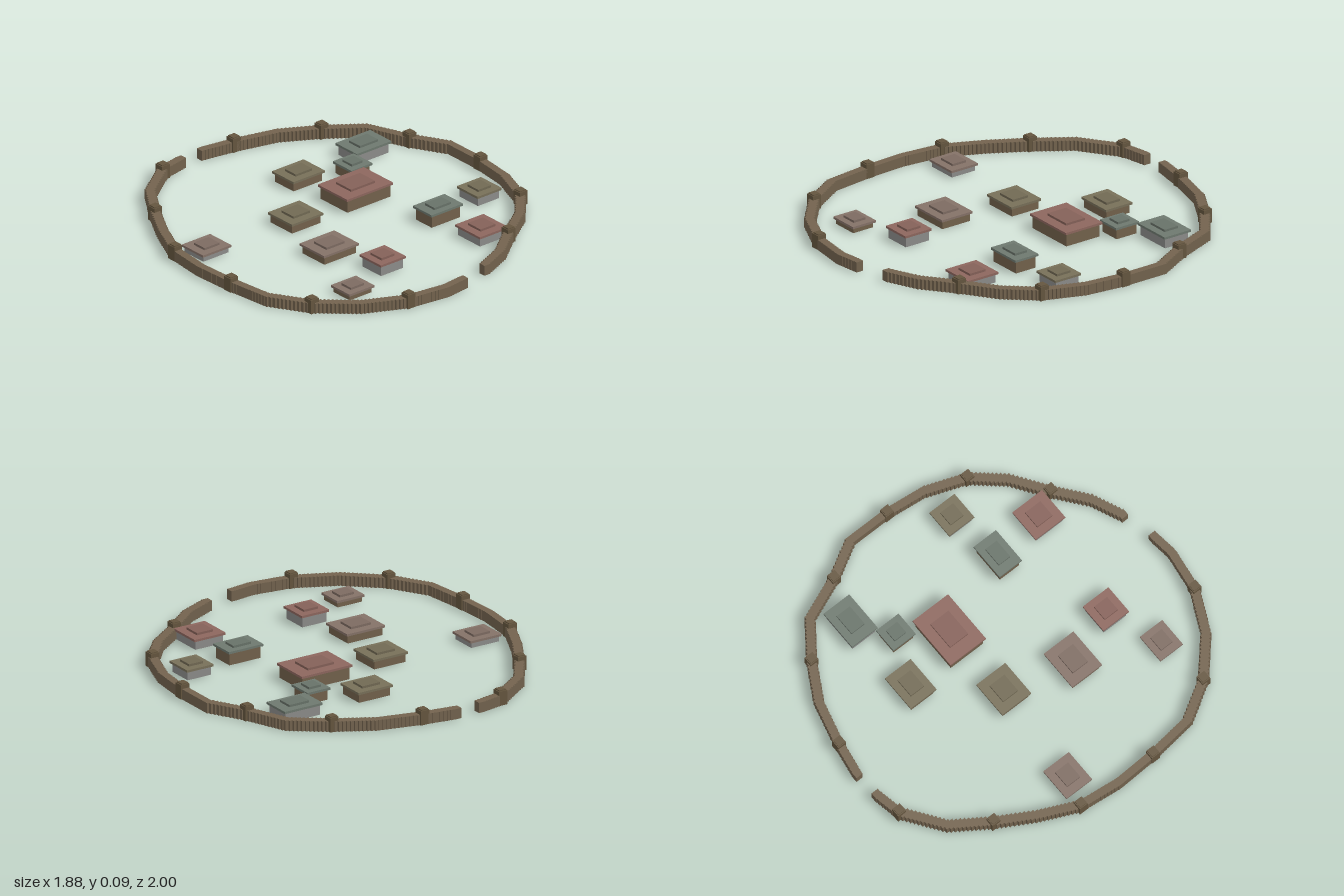
import * as THREE from 'three';
import { mergeGeometries } from 'three/addons/utils/BufferGeometryUtils.js';

const mat = (color) => new THREE.MeshStandardMaterial({ color, flatShading: true });
const timber = mat(0x73634e), towerTimber = mat(0x65563f), stone = mat(0x8c8c8a), planks = mat(0x73624c);
const roofs = { olive: 0x787059, green: 0x6e796f, red: 0x8d675e, brown: 0x857268 };

// Wall lines as [x, z] points, one on each side of the two gates
const eastLine = [[-0.07, -0.98], [0.11, -0.95], [0.345, -0.89], [0.54, -0.78], [0.72, -0.645], [0.81, -0.42],
  [0.915, -0.23], [0.915, 0.005], [0.89, 0.22], [0.81, 0.435], [0.675, 0.59], [0.495, 0.715], [0.33, 0.845], [0.17, 0.915]];
const westLine = [[-0.02, 0.965], [-0.14, 0.98], [-0.36, 0.95], [-0.58, 0.845], [-0.765, 0.68], [-0.885, 0.48], [-0.915, 0.235],
  [-0.925, 0.01], [-0.9, -0.215], [-0.805, -0.42], [-0.695, -0.61], [-0.565, -0.8], [-0.36, -0.945], [-0.22, -0.972]];

// Houses: centre x, z, roof width, roof depth, total height, roof colour, wall material
const houses = [
  [0.13, -0.475, 0.206, 0.164, 0.07, 'olive', planks],
  [0.577, -0.5, 0.227, 0.164, 0.077, 'green', stone],
  [0.388, -0.362, 0.137, 0.143, 0.078, 'green', planks],
  [0.227, -0.15, 0.301, 0.227, 0.091, 'red', planks],
  [-0.182, -0.13, 0.206, 0.185, 0.068, 'olive', planks],
  [-0.735, -0.166, 0.185, 0.164, 0.053, 'brown', stone],
  [-0.275, 0.238, 0.227, 0.19, 0.066, 'brown', planks],
  [0.391, 0.293, 0.206, 0.143, 0.088, 'green', planks],
  [0.7, 0.248, 0.158, 0.16, 0.07, 'olive', stone],
  [-0.174, 0.531, 0.164, 0.164, 0.078, 'red', stone],
  [-0.47, 0.648, 0.164, 0.143, 0.051, 'brown', planks],
  [0.428, 0.586, 0.185, 0.19, 0.07, 'red', stone],
];

// Box standing on height y
function boxAt(parent, name, material, [w, h, d], [x, y, z]) {
  const mesh = new THREE.Mesh(new THREE.BoxGeometry(w, h, d), material);
  mesh.name = name;
  mesh.position.set(x, y + h / 2, z);
  parent.add(mesh);
}

// Palisade of square posts set closely along a line
function palisade(line, name) {
  const posts = [];
  line.slice(1).forEach(([x1, z1], i) => {
    const [x0, z0] = line[i];
    const steps = Math.round(Math.hypot(x1 - x0, z1 - z0) / 0.021);
    for (let s = i ? 1 : 0; s <= steps; s++) {
      const t = s / steps;
      posts.push(new THREE.BoxGeometry(0.04, 0.055, 0.04).translate(x0 + (x1 - x0) * t, 0.0275, z0 + (z1 - z0) * t));
    }
  });
  const mesh = new THREE.Mesh(mergeGeometries(posts), timber);
  mesh.name = name;
  return mesh;
}

// Square watchtower with a small cap
function tower([x, z]) {
  const g = new THREE.Group();
  g.name = 'watchtower';
  g.position.set(x, 0, z);
  boxAt(g, 'towerBody', towerTimber, [0.05, 0.076, 0.05], [0, 0, 0]);
  boxAt(g, 'towerCap', towerTimber, [0.04, 0.006, 0.04], [0, 0.076, 0]);
  return g;
}

// House with an overhanging flat roof and a raised centre
function house([x, z, w, d, h, roof, walls]) {
  const g = new THREE.Group();
  g.name = 'house';
  g.position.set(x, 0, z);
  const slab = 0.012, eave = h - 2 * slab;
  const roofMat = mat(roofs[roof]);
  const capMat = mat(roofs[roof]);
  capMat.color.multiplyScalar(0.88);
  boxAt(g, 'houseWalls', walls, [w - 0.02, eave, d - 0.02], [0, 0, 0]);
  boxAt(g, 'roof', roofMat, [w, slab, d], [0, eave, 0]);
  boxAt(g, 'roofTop', capMat, [w * 0.52, slab, d * 0.51], [0, eave + slab, 0]);
  return g;
}

export function createModel() {
  const model = new THREE.Group();
  model.name = 'walledVillage';
  model.add(palisade(eastLine, 'leftPalisade'), palisade(westLine, 'rightPalisade'));
  eastLine.forEach((p, i) => { if (i % 2 && i < 12) model.add(tower(p)); });
  westLine.forEach((p, i) => { if (i && i % 2 === 0) model.add(tower(p)); });
  houses.forEach((spec) => model.add(house(spec)));
  return model;
}
